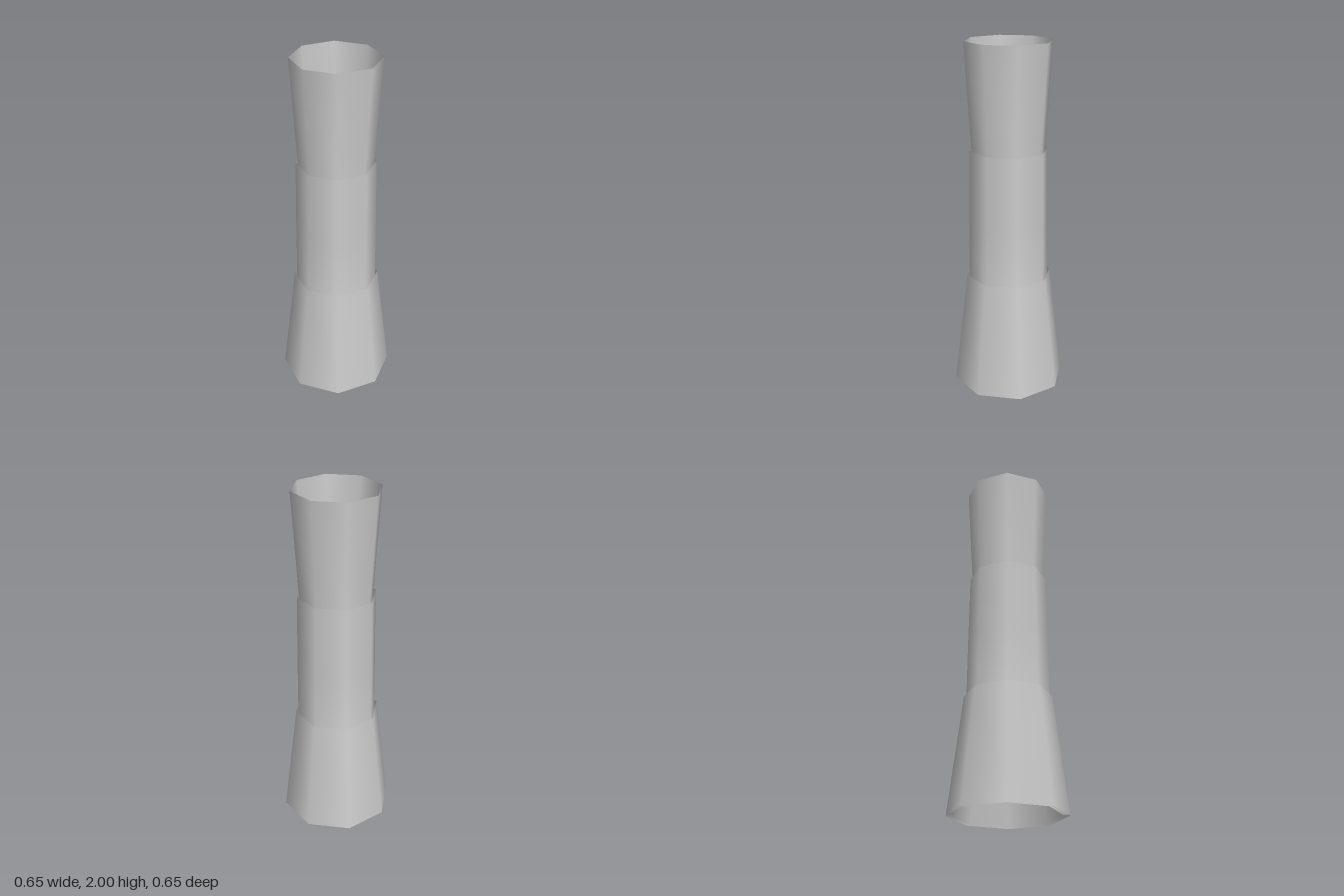
import * as THREE from 'three';

const SIDES = 8;

// Open eight-sided tube from [radius, height] pairs, bottom to top
function sleeve(name, profile, material) {
  const points = profile.map(([r, y]) => new THREE.Vector2(r, y));
  const mesh = new THREE.Mesh(new THREE.LatheGeometry(points, SIDES), material);
  mesh.name = name;
  return mesh;
}

export function createModel() {
  const group = new THREE.Group();
  group.name = 'flaredColumn';
  const material = new THREE.MeshStandardMaterial({ color: 0xcccccc, side: THREE.DoubleSide });

  // Three nested sleeves, all starting at the ground
  group.add(sleeve('outerSleeve', [[0.325, 0], [0.245, 0.665]], material));
  group.add(sleeve('middleSleeve', [[0.31, 0], [0.231, 0.665], [0.228, 1.0], [0.222, 1.405]], material));
  group.add(sleeve('innerSleeve', [[0.295, 0], [0.217, 0.665], [0.215, 1.0], [0.21, 1.405], [0.245, 2]], material));
  return group;
}
